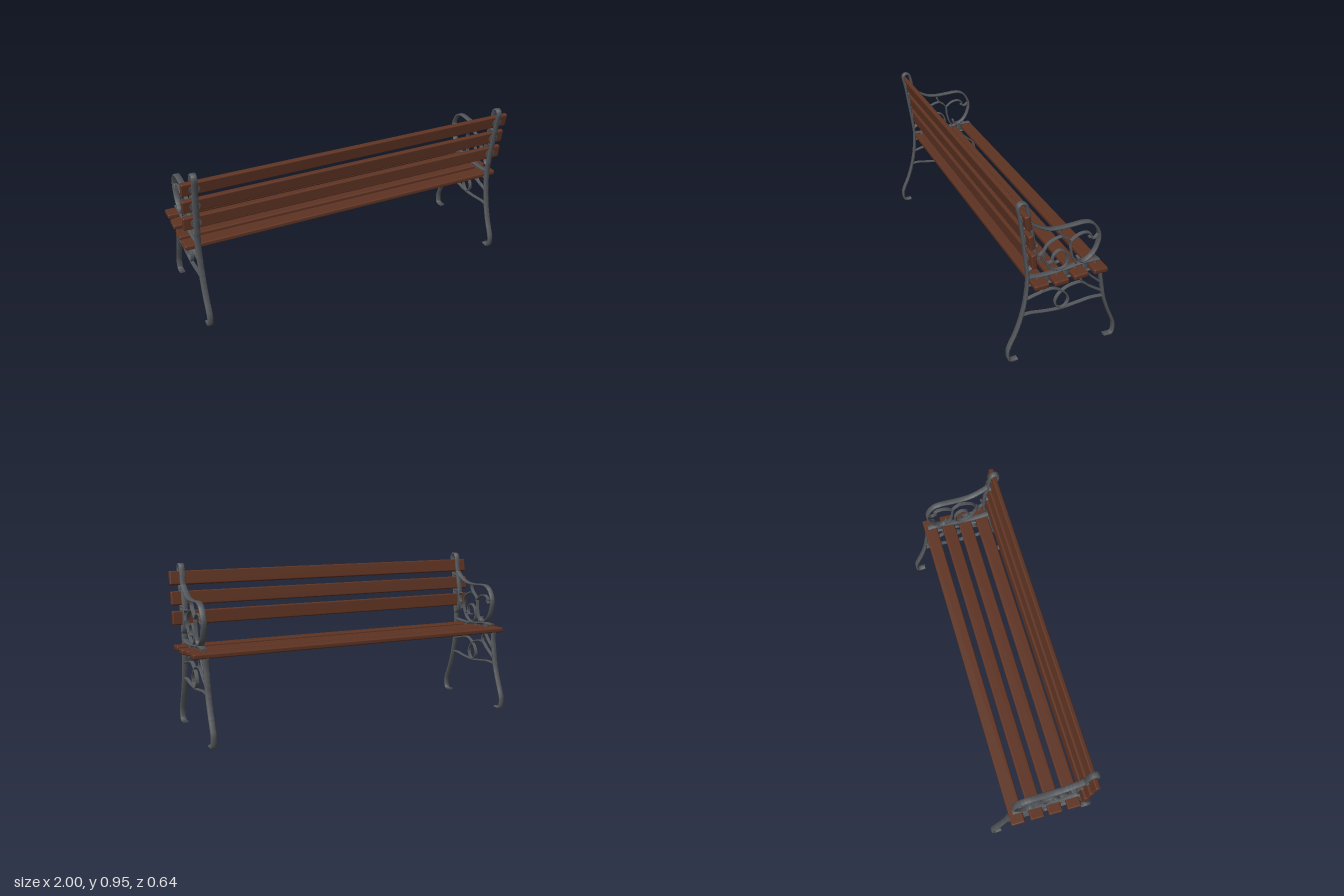
import * as THREE from 'three';
import { toCreasedNormals } from 'three/addons/utils/BufferGeometryUtils.js';
import { RoundedBoxGeometry } from 'three/addons/geometries/RoundedBoxGeometry.js';

const iron = new THREE.MeshStandardMaterial({ color: 0x53565a });
iron.name = 'cast iron';
const wood = new THREE.MeshStandardMaterial({ color: 0x5e3322 });
wood.name = 'brown wood';

// Bar section: w across the bench (x), t in the plane of the side frame
function section(w, t) {
  const a = w / 2, b = t / 2, c = t * 0.28;
  return new THREE.Shape([
    [a, -b + c], [a, b - c], [a - c, b], [-a + c, b],
    [-a, b - c], [-a, -b + c], [-a + c, -b], [a - c, -b],
  ].map(([x, y]) => new THREE.Vector2(x, y)));
}

// Iron bar swept along [z, y] points
function bar(name, pts, w, t) {
  const path = new THREE.CatmullRomCurve3(pts.map(([z, y]) => new THREE.Vector3(0, y, z)), false, 'centripetal');
  const steps = pts.length === 2 ? 1 : (pts.length - 1) * 6;
  const geo = new THREE.ExtrudeGeometry(section(w, t), { steps, extrudePath: path, bevelEnabled: false });
  const mesh = new THREE.Mesh(toCreasedNormals(geo, 0.9), iron);
  mesh.name = name;
  return mesh;
}

// Slats: [z, y, tilt about x, height, depth]
const seatSlats = [
  [0.155, 0.475, 0.03], [0.045, 0.473, 0.04], [-0.063, 0.484, 0.08], [-0.176, 0.487, -0.03],
].map((s) => [...s, 0.028, 0.08]);
const backSlats = [
  [0.238, 0.862, 0.2], [0.218, 0.749, 0.16], [0.203, 0.638, 0.09],
].map((s) => [...s, 0.08, 0.028]);

function slat(name, [z, y, tilt, h, d]) {
  const group = new THREE.Group();
  group.name = name;
  group.position.set(0, y, z);
  group.rotation.x = tilt;
  const board = new THREE.Mesh(new RoundedBoxGeometry(2, h, d, 3, 0.008), wood);
  board.name = 'board';
  group.add(board);
  const upright = h > d;
  for (const x of [-0.93, 0.93]) {
    // Bolt head on the sitting side, washer plate behind
    const bolt = new THREE.Mesh(new THREE.SphereGeometry(0.01, 12, 8).scale(1, 0.45, 1), wood);
    bolt.name = 'bolt';
    const plate = new THREE.Mesh(new THREE.CylinderGeometry(0.03, 0.03, 0.006, 16), iron);
    plate.name = 'washerPlate';
    if (upright) {
      bolt.rotation.x = plate.rotation.x = Math.PI / 2;
      bolt.position.set(x, 0, -d / 2);
      plate.position.set(x, 0, d / 2);
    } else {
      bolt.position.set(x, h / 2, 0);
      plate.position.set(x, -h / 2, 0);
    }
    group.add(bolt, plate);
  }
  return group;
}

function sideFrame(name) {
  const g = new THREE.Group();
  g.name = name;
  const W = 0.034, S = 0.022, T = 0.009;
  // Rear leg running up into the closed loop of the backrest
  g.add(bar('rearLegAndBack', [
    [0.258, 0.009], [0.294, 0.008], [0.307, 0.022], [0.311, 0.07], [0.303, 0.098], [0.266, 0.183],
    [0.236, 0.279], [0.216, 0.384], [0.208, 0.497], [0.213, 0.56], [0.233, 0.711], [0.253, 0.849],
    [0.266, 0.922], [0.259, 0.936], [0.243, 0.94], [0.225, 0.931], [0.216, 0.9], [0.203, 0.824],
    [0.188, 0.756], [0.174, 0.661], [0.177, 0.598], [0.19, 0.562], [0.21, 0.55],
  ], W, 0.013));
  g.add(bar('frontLeg', [
    [-0.208, 0.47], [-0.21, 0.422], [-0.223, 0.347], [-0.236, 0.279], [-0.266, 0.188],
    [-0.304, 0.098], [-0.312, 0.07], [-0.31, 0.02], [-0.3, 0.008], [-0.258, 0.009],
  ], W, 0.013));
  // Seat rails with dividers between the slats
  g.add(bar('upperSeatRail', [[0.21, 0.508], [0.103, 0.501], [-0.01, 0.51], [-0.123, 0.523], [-0.193, 0.52]], W, 0.01));
  g.add(bar('lowerSeatRail', [[0.208, 0.462], [0.103, 0.454], [-0.01, 0.458], [-0.123, 0.47], [-0.213, 0.469]], W, 0.011));
  for (const [z, y] of [[0.1, 0.455], [-0.01, 0.46], [-0.118, 0.471]]) {
    g.add(bar('seatDivider', [[z, y], [z, y + 0.05]], W, 0.011));
  }
  // Cross ties between the back slats
  g.add(bar('backTie', [[0.245, 0.802], [0.2, 0.8]], W, 0.011));
  g.add(bar('backTie', [[0.232, 0.701], [0.183, 0.698]], W, 0.011));
  g.add(bar('armrest', [
    [0.2, 0.822], [0.16, 0.794], [0.103, 0.766], [0.04, 0.756], [-0.035, 0.759], [-0.098, 0.761],
    [-0.14, 0.749], [-0.173, 0.711], [-0.188, 0.661], [-0.175, 0.598], [-0.148, 0.555],
    [-0.118, 0.533], [-0.093, 0.53], [-0.077, 0.54], [-0.072, 0.56],
  ], W, 0.011));
  // Ornamental scrolls under the armrest
  const scrolls = [
    [[0.038, 0.756], [0.036, 0.73], [0.013, 0.7], [-0.01, 0.683], [-0.025, 0.661], [-0.029, 0.62], [-0.043, 0.56], [-0.063, 0.525]],
    [[0.02, 0.706], [0.06, 0.698], [0.103, 0.673], [0.125, 0.623], [0.11, 0.573], [0.078, 0.53], [0.035, 0.512],
      [-0.005, 0.525], [-0.015, 0.56], [0, 0.605], [0.035, 0.625], [0.065, 0.606], [0.07, 0.57], [0.055, 0.557], [0.035, 0.561]],
    [[0.1, 0.565], [0.085, 0.565], [0.07, 0.574]],
    [[-0.025, 0.661], [-0.06, 0.688], [-0.103, 0.698], [-0.135, 0.685], [-0.14, 0.665], [-0.128, 0.664]],
    [[-0.137, 0.67], [-0.148, 0.654], [-0.163, 0.654], [-0.18, 0.671]],
    [[0.158, 0.688], [0.17, 0.673], [0.171, 0.655], [0.163, 0.633], [0.145, 0.623], [0.126, 0.64]],
    [[0.145, 0.623], [0.148, 0.606], [0.142, 0.583]],
  ];
  scrolls.forEach((p) => g.add(bar('armScroll', p, S, T)));
  // Braces and looped scroll below the seat
  const braces = [
    [[0.216, 0.372], [0.168, 0.386], [0.128, 0.397], [0.112, 0.42], [0.115, 0.452]],
    [[0.128, 0.397], [0.07, 0.402], [0.035, 0.39], [-0.01, 0.354], [-0.028, 0.309], [-0.01, 0.276], [0.012, 0.268],
      [0.038, 0.284], [0.048, 0.32], [0.028, 0.359], [-0.01, 0.387], [-0.06, 0.4], [-0.103, 0.397], [-0.15, 0.36], [-0.228, 0.307]],
    [[-0.103, 0.397], [-0.096, 0.422], [-0.12, 0.468]],
    [[-0.12, 0.468], [-0.148, 0.43], [-0.212, 0.37]],
    [[0.236, 0.279], [0.19, 0.282], [0.103, 0.27], [0.01, 0.264], [-0.085, 0.274], [-0.16, 0.282], [-0.236, 0.277]],
  ];
  braces.forEach((p) => g.add(bar('lowerScroll', p, S, T)));
  return g;
}

export function createModel() {
  const model = new THREE.Group();
  model.name = 'parkBench';
  for (const [side, x] of [['left', 0.93], ['right', -0.93]]) {
    const frame = sideFrame(side + 'Frame');
    frame.position.x = x;
    model.add(frame);
  }
  seatSlats.forEach((s) => model.add(slat('seatSlat', s)));
  backSlats.forEach((s) => model.add(slat('backSlat', s)));
  return model;
}
